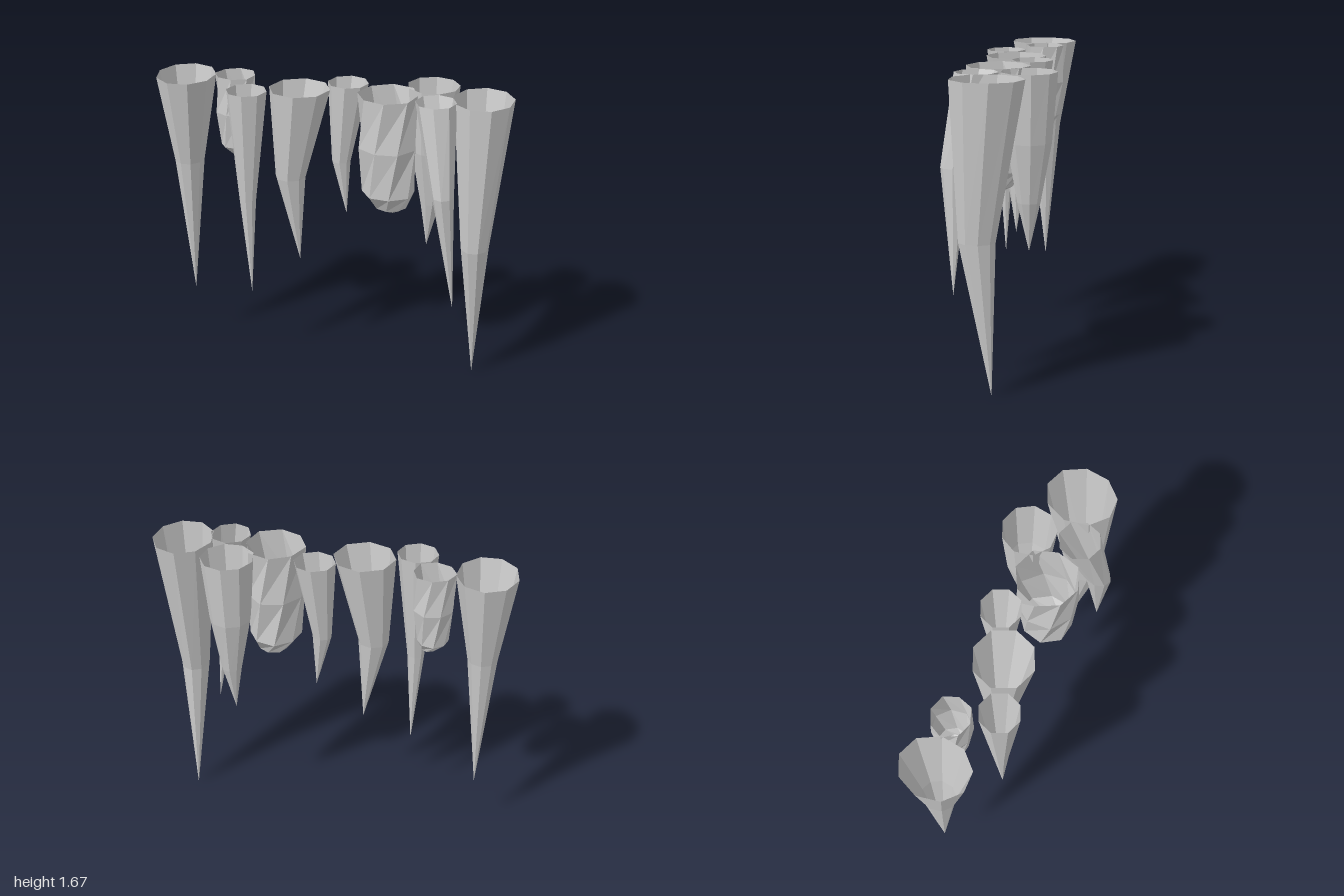
import * as THREE from 'three';

const TOP = 1.67;
const material = new THREE.MeshStandardMaterial({ color: 0xcccccc, flatShading: true, side: THREE.DoubleSide });

// Open-topped faceted shell: rings [x, y, z, rx, rz] from rim down, closed by a point [x, y, z].
// twist turns each ring by that share of one side, which makes lumpy facets.
function hangingShell(name, sides, rings, tip, twist = 0) {
  const positions = [];
  const index = [];
  rings.forEach(([x, y, z, rx, rz = rx], r) => {
    for (let i = 0; i < sides; i++) {
      const a = ((i + twist * r) / sides) * Math.PI * 2;
      const k = twist ? 1 + 0.035 * Math.sin(i * 2.4 + r * 1.7) : 1;
      positions.push(x + Math.sin(a) * rx * k, y, z - Math.cos(a) * rz * k);
    }
  });
  positions.push(...tip);
  const tipIndex = rings.length * sides;
  for (let r = 0; r < rings.length; r++) {
    for (let i = 0; i < sides; i++) {
      const a = r * sides + i;
      const b = r * sides + ((i + 1) % sides);
      if (r === rings.length - 1) index.push(a, b, tipIndex);
      else index.push(a, b, b + sides, a, b + sides, a + sides);
    }
  }
  const geometry = new THREE.BufferGeometry();
  geometry.setAttribute('position', new THREE.Float32BufferAttribute(positions, 3));
  geometry.setIndex(index);
  const flat = geometry.toNonIndexed();
  flat.computeVertexNormals();
  const mesh = new THREE.Mesh(flat, material);
  mesh.name = name;
  return mesh;
}

export function createModel() {
  const group = new THREE.Group();
  group.name = 'stalactites';

  group.add(
    // long spikes at both ends
    hangingShell('rightLongSpike', 9, [[-0.835, TOP, -0.085, 0.167, 0.193], [-0.837, 1.16, -0.09, 0.083, 0.095]], [-0.837, 0.33, -0.1]),
    hangingShell('leftLongSpike', 9, [[0.835, TOP, 0.03, 0.167, 0.195], [0.825, 0.83, 0.085, 0.08, 0.098]], [0.835, 0, 0.01]),

    // smaller spikes between them
    hangingShell('rightThinSpike', 8, [[-0.445, TOP - 0.01, 0.097, 0.113], [-0.452, 1.02, 0.1, 0.048]], [-0.44, 0.44, 0.1]),
    hangingShell('rightBentSpike', 8, [[-0.17, TOP - 0.01, 0.005, 0.17], [-0.225, 1.14, 0.01, 0.085]], [-0.175, 0.63, 0.005]),
    hangingShell('centreSpike', 8, [[0.078, TOP, -0.115, 0.114], [0.042, 1.21, -0.105, 0.053]], [0.075, 0.89, -0.1]),
    hangingShell('backSpike', 9, [[0.545, TOP, -0.15, 0.146, 0.15], [0.54, 1.3, -0.15, 0.115, 0.12], [0.545, 0.98, -0.15, 0.058, 0.062]], [0.53, 0.71, -0.15]),
    hangingShell('frontBentSpike', 8, [[0.59, TOP, 0.118, 0.112, 0.117], [0.655, 1.18, 0.225, 0.06, 0.075]], [0.73, 0.51, 0.225]),

    // blunt lumps with rounded bottoms
    hangingShell('rightLump', 8, [
      [-0.56, TOP + 0.005, -0.12, 0.115, 0.108],
      [-0.56, 1.46, -0.12, 0.113, 0.11],
      [-0.565, 1.26, -0.12, 0.085, 0.085],
      [-0.545, 1.21, -0.12, 0.045, 0.045],
    ], [-0.53, 1.185, -0.12], 0.4),
    hangingShell('leftLump', 8, [
      [0.325, TOP, 0.04, 0.165, 0.175],
      [0.328, 1.38, 0.045, 0.162, 0.172],
      [0.335, 1.11, 0.045, 0.145, 0.15],
      [0.35, 1.02, 0.045, 0.085, 0.085],
    ], [0.36, 0.98, 0.045], 0.4),
  );
  return group;
}
